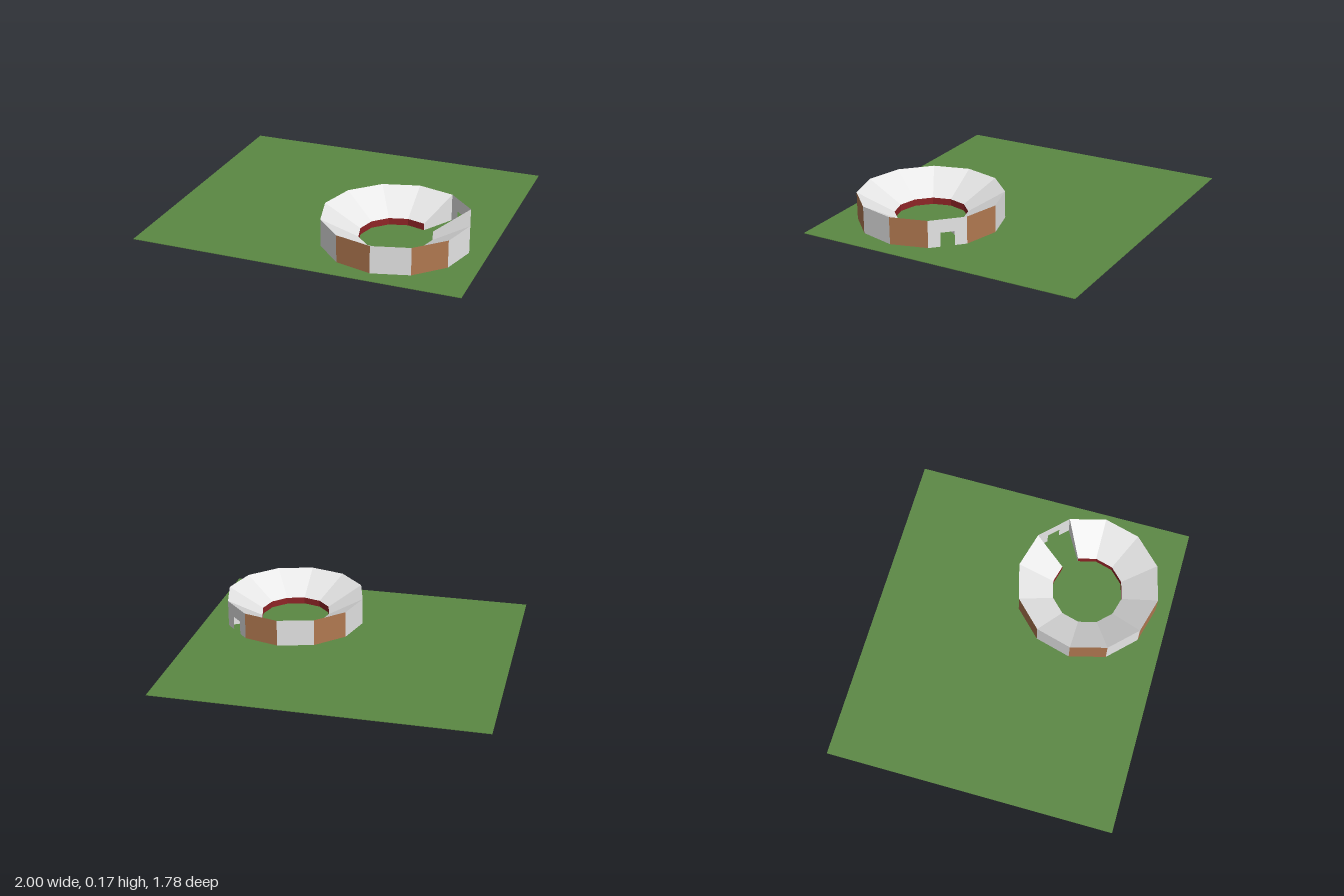
import * as THREE from 'three';

const CX = 0.444, CZ = 0.356;      // centre of the arena
const OUTER = 0.445, INNER = 0.222;
const BASE = 0.003, RIM = 0.172, LIP = 0.045;
const SIDES = 12, GATE = 10;       // the gate takes the place of one segment

const mat = (name, color, side = THREE.DoubleSide) => {
  const m = new THREE.MeshStandardMaterial({ color, side });
  m.name = name;
  return m;
};

// Point on the ring at corner i
const at = (i, radius, y) => {
  const a = (i / SIDES) * Math.PI * 2;
  return [radius * Math.cos(a), y, radius * Math.sin(a)];
};

// Flat four-cornered panel, corners counter-clockwise from its front
function panel(name, corners, material) {
  const g = new THREE.BufferGeometry();
  g.setAttribute('position', new THREE.Float32BufferAttribute(corners.flat(), 3));
  g.setIndex([0, 1, 2, 0, 2, 3]);
  g.computeVertexNormals();
  const mesh = new THREE.Mesh(g, material);
  mesh.name = name;
  return mesh;
}

export function createModel() {
  const grass = mat('grass green', 0x5b8843, THREE.FrontSide);
  const white = mat('off white', 0xe6e6e6);
  const brown = mat('wood brown', 0xb07850);
  const red = mat('barrier red', 0x8f2426);

  const model = new THREE.Group();
  model.name = 'arenaOnField';

  // Thin field
  const field = new THREE.Mesh(new THREE.BoxGeometry(2, BASE, 1.78), grass);
  field.name = 'field';
  field.position.y = BASE / 2;
  model.add(field);

  const arena = new THREE.Group();
  arena.name = 'arena';
  arena.position.set(CX, 0, CZ);
  model.add(arena);

  // Outer wall, sloping stand and inner barrier of each segment
  for (let i = 0; i < SIDES; i++) {
    if (i === GATE) continue;
    const j = i + 1;
    arena.add(
      panel('outerWall', [at(j, OUTER, BASE), at(i, OUTER, BASE), at(i, OUTER, RIM), at(j, OUTER, RIM)],
        i % 2 ? brown : white),
      panel('stand', [at(i, OUTER, RIM), at(i, INNER, LIP), at(j, INNER, LIP), at(j, OUTER, RIM)], white),
      panel('innerBarrier', [at(i, INNER, BASE), at(j, INNER, BASE), at(j, INNER, LIP), at(i, INNER, LIP)], red),
    );
  }

  // End walls on both sides of the entrance passage
  for (const i of [GATE, GATE + 1]) {
    const corners = [at(i, INNER, BASE), at(i, OUTER, BASE), at(i, OUTER, RIM), at(i, INNER, LIP)];
    arena.add(panel('passageWall', i === GATE ? corners : corners.reverse(), white));
  }

  // Gate wall with an open doorway
  const half = OUTER * Math.sin(Math.PI / SIDES), door = 0.042, doorTop = 0.09;
  const shape = new THREE.Shape([
    [-half, BASE], [-door, BASE], [-door, doorTop], [door, doorTop],
    [door, BASE], [half, BASE], [half, RIM], [-half, RIM],
  ].map(([x, y]) => new THREE.Vector2(x, y)));
  const gate = new THREE.Mesh(new THREE.ShapeGeometry(shape), white);
  gate.name = 'gateWall';
  const a = ((GATE + 0.5) / SIDES) * Math.PI * 2;
  const reach = OUTER * Math.cos(Math.PI / SIDES);
  gate.position.set(reach * Math.cos(a), 0, reach * Math.sin(a));
  gate.rotation.y = Math.PI / 2 - a;
  arena.add(gate);

  return model;
}
